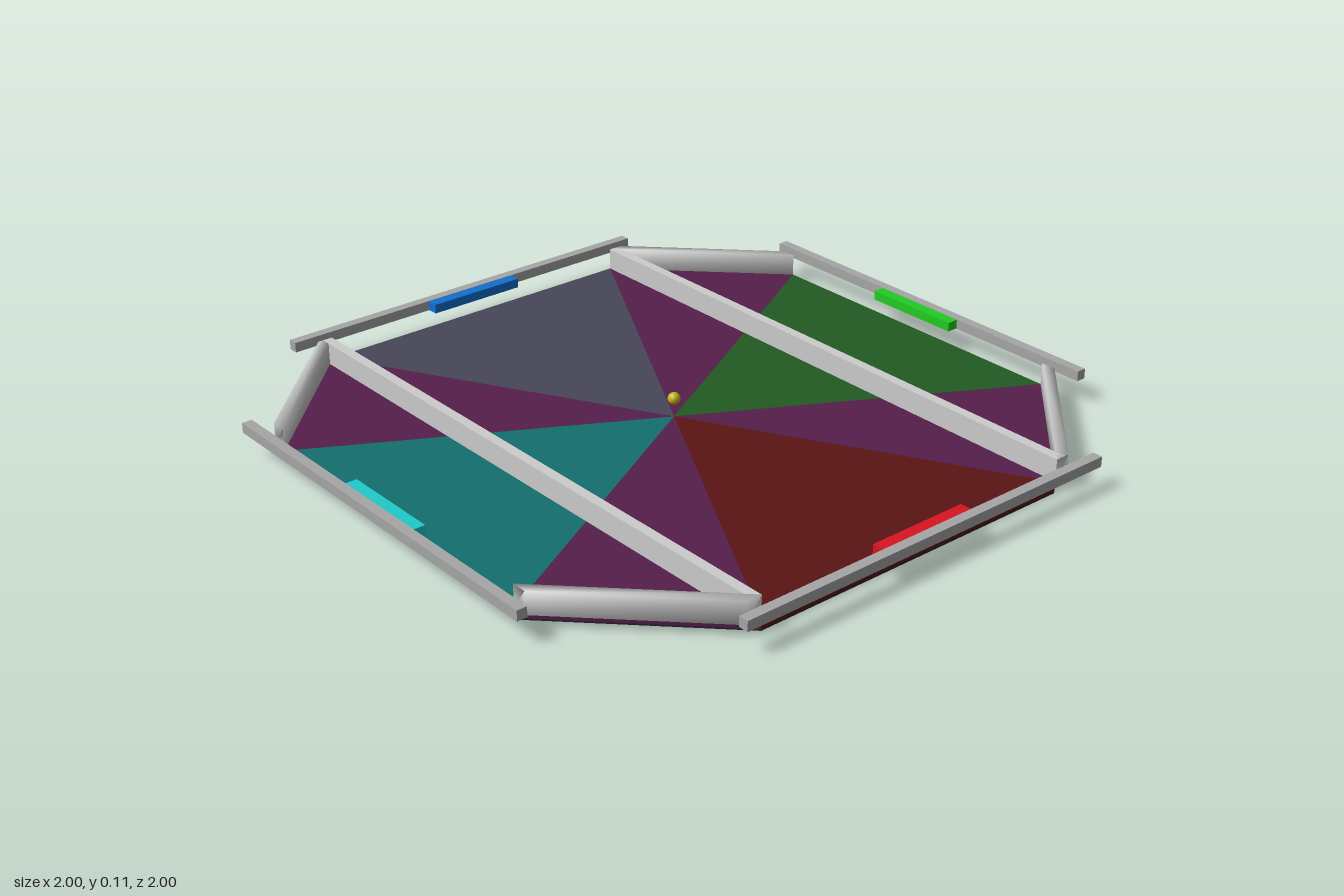
import * as THREE from 'three';
import { mergeVertices } from 'three/addons/utils/BufferGeometryUtils.js';

const APOTHEM = 0.935, HALF_SIDE = 0.52; // octagonal floor
const FLOOR = 0.034, TOP = 0.1;

const paint = (color) => new THREE.MeshStandardMaterial({ color });

function add(parent, name, geometry, material, x = 0, y = 0, z = 0) {
  const mesh = new THREE.Mesh(geometry, material);
  mesh.name = name;
  mesh.position.set(x, y, z);
  parent.add(mesh);
  return mesh;
}

// Flat slab from [x, z] corners, lying on y = 0
function slab(corners, height) {
  const shape = new THREE.Shape(corners.map(([x, z]) => new THREE.Vector2(x, -z)));
  return new THREE.ExtrudeGeometry(shape, { depth: height, bevelEnabled: false }).rotateX(-Math.PI / 2);
}

// Corner wall: a box with mitred ends and softly shared normals
function cornerWallGeometry() {
  const inner = (APOTHEM + HALF_SIDE) / Math.SQRT2, thick = 0.032;
  const halfLength = (APOTHEM - HALF_SIDE) / Math.SQRT2;
  const box = new THREE.BoxGeometry(2 * halfLength, TOP - FLOOR, thick);
  box.deleteAttribute('normal');
  box.deleteAttribute('uv');
  const pos = box.attributes.position;
  for (let i = 0; i < pos.count; i++) {
    if (pos.getZ(i) > 0) pos.setX(i, Math.sign(pos.getX(i)) * (halfLength - thick));
  }
  box.translate(0, (TOP + FLOOR) / 2, inner + thick / 2);
  const smooth = mergeVertices(box);
  smooth.computeVertexNormals();
  return smooth;
}

export function createModel() {
  const model = new THREE.Group();
  model.name = 'arena';
  const grey = paint(0xcccccc), railGrey = paint(0xa6a6a6), purple = paint(0x561e4b);

  // Octagon corners, starting at the front and going towards +x
  const corners = [];
  const turn = (x, z, k) => {
    for (let i = 0; i < k; i++) [x, z] = [z, -x];
    return [x, z];
  };
  for (let k = 0; k < 4; k++) {
    corners.push(turn(-HALF_SIDE, APOTHEM, k), turn(HALF_SIDE, APOTHEM, k));
  }

  // Dark underside
  add(model, 'floorBase', slab(corners, 0.004), paint(0x22222c));

  // Four sides: front, left (+x), back, right (-x)
  const sides = [
    ['front', 0x5a1414, 0xd81420],
    ['left', 0x225a22, 0x22cc22],
    ['back', 0x464658, 0x1070d0],
    ['right', 0x146e6e, 0x20c8c8],
  ];
  const railGeometry = new THREE.BoxGeometry(1.245, 0.03, 0.03);
  const paddleGeometry = new THREE.BoxGeometry(0.31, 0.028, 0.035);
  const wallGeometry = cornerWallGeometry();

  sides.forEach(([name, floorColor, paddleColor], k) => {
    // Coloured floor wedge and the purple one beside it
    const wedge = (i) => slab([[0, 0], corners[i], corners[(i + 1) % 8]], FLOOR - 0.004);
    add(model, `${name}FloorWedge`, wedge(2 * k), paint(floorColor), 0, 0.004);
    add(model, `${name}CornerWedge`, wedge(2 * k + 1), purple, 0, 0.004);

    // Outer rail with its paddle
    const side = new THREE.Group();
    side.name = `${name}Side`;
    side.rotation.y = k * Math.PI / 2;
    add(side, 'rail', railGeometry, railGrey, 0, 0.085, 0.985);
    add(side, 'paddle', paddleGeometry, paint(paddleColor), 0, 0.085, 0.9525);
    model.add(side);

    // Diagonal wall at the corner
    const wall = add(model, `${name}CornerWall`, wallGeometry, grey);
    wall.rotation.y = (k + 0.5) * Math.PI / 2;
  });

  // Two beams running front to back
  for (const s of [-1, 1]) {
    add(model, s > 0 ? 'leftBeam' : 'rightBeam',
      new THREE.BoxGeometry(0.03, TOP - FLOOR, 2 * APOTHEM), grey,
      s * 0.535, (TOP + FLOOR) / 2, 0);
  }

  // Ball above the centre
  add(model, 'ball', new THREE.SphereGeometry(0.018, 24, 16), paint(0xc0b010), 0, 0.09, 0);

  return model;
}
